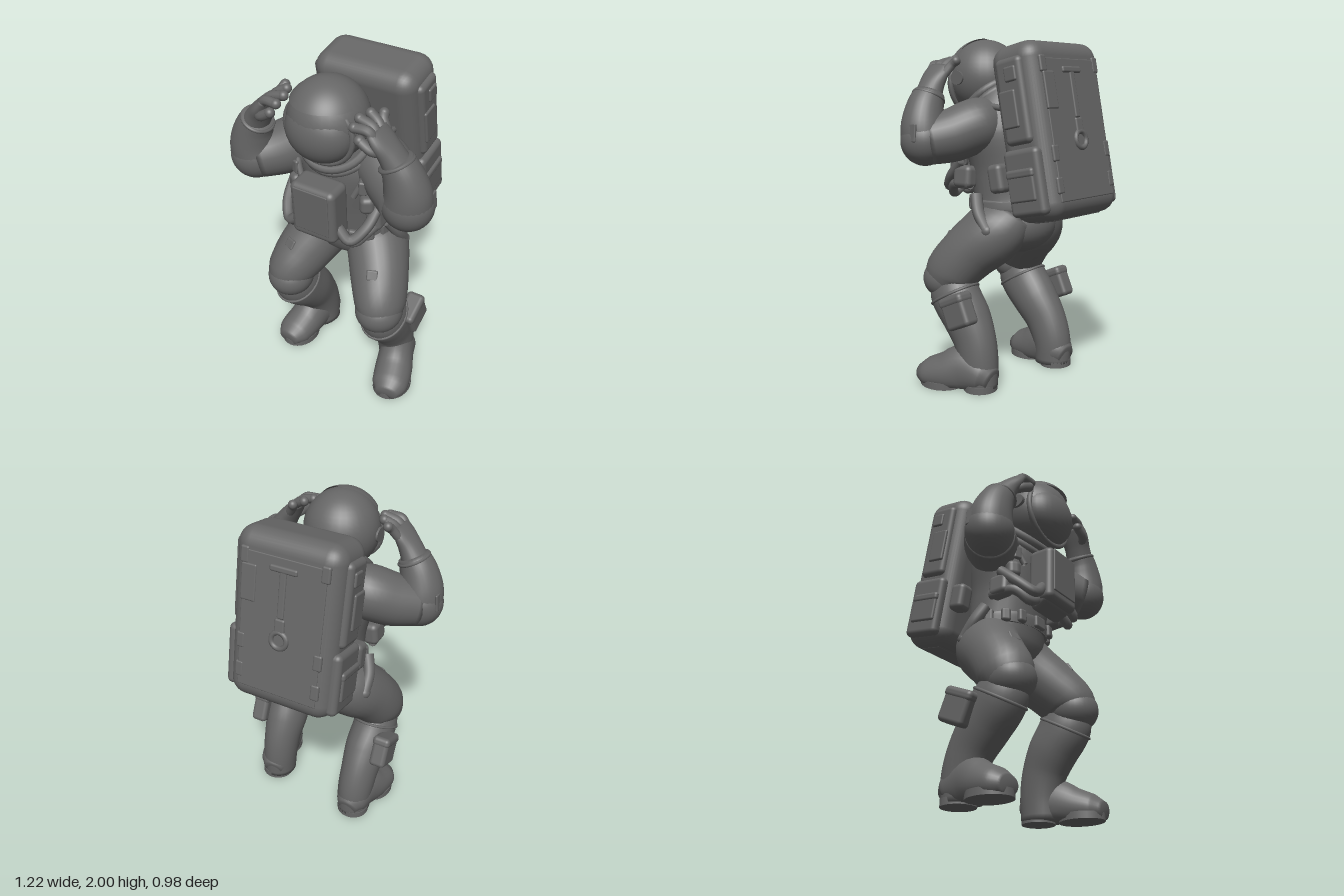
import * as THREE from 'three';
import { RoundedBoxGeometry } from 'three/addons/geometries/RoundedBoxGeometry.js';

const V = (x, y, z) => new THREE.Vector3(x, y, z);

export function createModel() {
  const root = new THREE.Group();
  const suit = new THREE.MeshStandardMaterial({ color: 0x666666, side: THREE.DoubleSide });
  suit.name = 'suitGrey';

  const add = (name, geo, pos = [0, 0, 0], rot = [0, 0, 0], parent = root) => {
    const m = new THREE.Mesh(geo, suit);
    m.name = name;
    m.position.set(...pos);
    m.rotation.set(...rot);
    parent.add(m);
    return m;
  };
  const box = (name, size, pos, rot, parent, r = 0.02) =>
    add(name, new RoundedBoxGeometry(...size, 4, Math.min(r, Math.min(...size) * 0.45)), pos, rot, parent);
  const tube = (name, pts, r) =>
    add(name, new THREE.TubeGeometry(new THREE.CatmullRomCurve3(pts.map(p => V(...p))), 24, r, 10));

  // Lofts ellipses along a smooth path; each section is [x, y, z, radiusA, radiusB]
  function loft(name, secs, ref = V(0, 0, 1), floor = -1) {
    const sides = 28, rows = (secs.length - 1) * 5;
    const path = new THREE.CatmullRomCurve3(secs.map(s => V(s[0], s[1], s[2])));
    const radii = new THREE.CatmullRomCurve3(secs.map(s => V(s[3], s[4], 0)));
    const pos = [], idx = [];
    for (let i = 0; i <= rows; i++) {
      const c = path.getPoint(i / rows), q = radii.getPoint(i / rows), t = path.getTangent(i / rows);
      const u = V().crossVectors(t, ref).normalize(), v = V().crossVectors(u, t);
      for (let j = 0; j < sides; j++) {
        const a = j / sides * Math.PI * 2;
        const p = c.clone().addScaledVector(u, q.x * Math.cos(a)).addScaledVector(v, q.y * Math.sin(a));
        pos.push(p.x, Math.max(p.y, floor), p.z);
        if (i < rows) {
          const k = i * sides, n = (j + 1) % sides;
          idx.push(k + j, k + sides + j, k + n, k + n, k + sides + j, k + sides + n);
        }
      }
    }
    // Close both ends
    const a = pos.length / 3, first = secs[0], last = secs[secs.length - 1];
    pos.push(first[0], first[1], first[2], last[0], last[1], last[2]);
    for (let j = 0; j < sides; j++) {
      const n = (j + 1) % sides, k = rows * sides;
      idx.push(a, j, n, a + 1, k + n, k + j);
    }
    const g = new THREE.BufferGeometry();
    g.setAttribute('position', new THREE.Float32BufferAttribute(pos, 3));
    g.setIndex(idx);
    g.computeVertexNormals();
    return add(name, g);
  }
  const ball = (name, r, pos, scale = [1, 1, 1]) => {
    const m = add(name, new THREE.SphereGeometry(r, 32, 24), pos);
    m.scale.set(...scale);
    return m;
  };
  // Elliptical ring lying across a given direction
  const ring = (name, pos, dir, rx, ry, t) => {
    const m = add(name, new THREE.TorusGeometry(1, t / rx, 8, 40), pos);
    m.quaternion.setFromUnitVectors(V(0, 0, 1), V(...dir).normalize());
    m.scale.set(rx, ry, rx);
    return m;
  };

  // Torso, seat and neck
  loft('torso', [[0, 0.77, 0.03, 0.05, 0.06], [0, 0.86, 0.02, 0.19, 0.16], [0, 0.97, 0.04, 0.265, 0.21],
    [0, 1.08, 0.06, 0.24, 0.215], [0, 1.25, 0.08, 0.245, 0.225], [0, 1.45, 0.105, 0.28, 0.225],
    [0, 1.58, 0.12, 0.24, 0.2], [0, 1.69, 0.17, 0.17, 0.16]]);
  ball('seat', 0.2, [0, 0.925, 0.005], [1.2, 0.8, 0.92]);
  ring('neckRing', [0, 1.635, 0.21], [0, 0.75, 0.65], 0.192, 0.192, 0.024);
  ring('neckFlange', [0, 1.605, 0.18], [0, 0.75, 0.65], 0.2, 0.2, 0.022);

  // Helmet with bulging visor, rim and raised sun shield
  ball('helmet', 0.222, [0, 1.772, 0.275], [0.97, 1, 0.97]);
  ball('visor', 1, [0, 1.74, 0.36], [0.192, 0.172, 0.14]);
  ring('visorRim', [0, 1.742, 0.375], [0, 0, 1], 0.196, 0.181, 0.016);
  const shield = add('sunShield', new THREE.SphereGeometry(0.232, 32, 14, 0.3, Math.PI - 0.6, 0, 1.02), [0, 1.768, 0.282]);
  shield.scale.x = 0.95;
  for (const s of [-1, 1]) {
    const hinge = add('visorHinge', new THREE.CylinderGeometry(0.04, 0.04, 0.03, 20), [s * 0.208, 1.77, 0.3], [0, 0, Math.PI / 2]);
    hinge.scale.z = 1.2;
  }

  // Belt
  loft('belt', [[0, 1.025, 0.055, 0.25, 0.226], [0, 1.035, 0.055, 0.257, 0.233],
    [0, 1.075, 0.06, 0.255, 0.233], [0, 1.085, 0.06, 0.247, 0.226]]);
  box('beltBuckle', [0.09, 0.075, 0.03], [0, 1.055, 0.29]);

  // Chest control unit
  box('chestUnit', [0.27, 0.33, 0.16], [0, 1.285, 0.39], [0.04, 0, 0], root, 0.035);
  box('chestUnitFace', [0.21, 0.26, 0.012], [0, 1.3, 0.471], [0.04, 0, 0]);
  box('chestUnitBase', [0.25, 0.09, 0.12], [0, 1.14, 0.365], [-0.4, 0, 0], root, 0.03);

  for (const s of [-1, 1]) {
    // Harness, hoses and waist pouches
    tube('shoulderStrap', [[s * 0.2, 1.6, -0.04], [s * 0.21, 1.61, 0.1], [s * 0.21, 1.57, 0.22], [s * 0.2, 1.46, 0.28], [s * 0.16, 1.36, 0.31]], 0.018);
    box('strapBuckle', [0.05, 0.08, 0.025], [s * 0.21, 1.42, 0.295], [0, s * 0.4, 0]);
    tube('upperHose', [[s * 0.12, 1.2, 0.4], [s * 0.19, 1.14, 0.4], [s * 0.25, 1.2, 0.33], [s * 0.27, 1.3, 0.22]], 0.03);
    tube('lowerHose', [[s * 0.11, 1.14, 0.36], [s * 0.19, 1.1, 0.36], [s * 0.25, 1.16, 0.3], [s * 0.27, 1.17, 0.15]], 0.028);
    box('waistPouch', [0.09, 0.13, 0.13], [s * 0.25, 1.21, 0.21], [0, 0, s * 0.1], root, 0.03);
    box('chestPouch', [0.08, 0.1, 0.08], [s * 0.22, 1.31, 0.27], [0, s * 0.6, 0], root, 0.03);
    box('sideBox', [0.1, 0.16, 0.1], [s * 0.27, 1.22, -0.07], [0.2, 0, 0], root, 0.03);
    for (const [x, z, turn] of [[0.13, 0.265, 0.2], [0.2, 0.205, 0.7], [0.245, 0.12, 1.2]])
      box('beltLoop', [0.055, 0.08, 0.035], [s * x, 1.057, z], [0, s * turn, 0]);
    tube('hipStrap', [[s * 0.265, 1.11, 0.11], [s * 0.3, 1.02, 0.06], [s * 0.305, 0.93, -0.005]], 0.035);
    ball('hipStrapEnd', 0.036, [s * 0.305, 0.925, -0.008]);

    // Arm raised to the helmet
    loft('upperArm', [[s * 0.14, 1.52, 0.1, 0.12, 0.14], [s * 0.24, 1.5, 0.14, 0.155, 0.155],
      [s * 0.35, 1.45, 0.21, 0.15, 0.15], [s * 0.46, 1.42, 0.295, 0.138, 0.135]], V(0, 1, 0));
    ball('elbow', 0.14, [s * 0.472, 1.422, 0.3], [1, 1, 0.96]);
    loft('forearm', [[s * 0.47, 1.42, 0.3, 0.138, 0.132], [s * 0.475, 1.5, 0.31, 0.127, 0.122],
      [s * 0.45, 1.6, 0.32, 0.107, 0.105], [s * 0.41, 1.68, 0.328, 0.085, 0.09]]);
    ring('cuff', [s * 0.416, 1.662, 0.326], [-s * 0.45, 0.9, 0], 0.086, 0.09, 0.01);
    box('sleevePatch', [0.015, 0.1, 0.08], [s * 0.595, 1.47, 0.28], [0, 0, s * 0.1]);

    // Gloved hand resting against the helmet
    loft('palm', [[s * 0.425, 1.65, 0.328, 0.075, 0.085], [s * 0.385, 1.72, 0.338, 0.06, 0.082],
      [s * 0.345, 1.78, 0.345, 0.045, 0.09], [s * 0.31, 1.83, 0.345, 0.03, 0.085]]);
    for (const [z, tx, ty, tz] of [[0.28, 0.29, 1.86, 0.235], [0.32, 0.245, 1.87, 0.285], [0.36, 0.22, 1.865, 0.35], [0.395, 0.225, 1.845, 0.41]]) {
      tube('finger', [[s * 0.335, 1.79, z], [s * 0.3, 1.84, (z + tz) / 2], [s * tx, ty, tz]], 0.026);
      ball('fingertip', 0.0265, [s * tx, ty, tz]);
    }
    tube('thumb', [[s * 0.365, 1.73, 0.37], [s * 0.325, 1.75, 0.415], [s * 0.26, 1.79, 0.42]], 0.027);
    ball('thumbTip', 0.0275, [s * 0.26, 1.79, 0.42]);

    // Leg: the right one stands slightly inward and further back
    const left = s > 0, k = left ? 0 : -0.035, a = left ? 0 : -0.075, X = x => s * x;
    const heel = left ? 0.32 : 0.275, toe = left ? 0.43 : 0.33;
    loft('thigh', [[X(0.1), 1.0, 0.02, 0.13, 0.18], [X(0.17), 0.9, 0.06, 0.175, 0.19],
      [X(0.255 + k * 0.3), 0.77, 0.18, 0.168, 0.17], [X(0.315 + k * 0.7), 0.65, 0.27, 0.145, 0.16],
      [X(0.325 + k), 0.57, 0.285, 0.115, 0.125]]);
    ball('knee', 0.14, [X(0.322 + k), 0.615, 0.298], [0.98, 0.88, 1]);
    loft('shin', [[X(0.322 + k), 0.62, 0.26, 0.11, 0.13], [X(0.322 + k), 0.52, 0.228, 0.132, 0.158],
      [X(0.315 + k), 0.4, 0.147 + a * 0.3, 0.13, 0.148], [X(0.315 + k), 0.28, 0.085 + a * 0.65, 0.115, 0.132],
      [X((0.315 + k + heel) / 2), 0.15, 0.055 + a * 0.95, 0.108, 0.122], [X(heel), 0.015, 0.05 + a, 0.1, 0.115]]);
    ring('shinCuff', [X(0.322 + k), 0.525, 0.232], [0, 0.88, 0.5], 0.13, 0.155, 0.009);

    // Boot, flat on the ground, with toes turned out
    const mix = f => X(heel + (toe - heel) * f);
    loft('boot', [[mix(0), 0.07, -0.055 + a, 0.06, 0.06], [mix(0.05), 0.09, a, 0.098, 0.1],
      [mix(0.35), 0.11, 0.12 + a, 0.106, 0.14], [mix(0.7), 0.08, 0.23 + a, 0.115, 0.115],
      [mix(0.95), 0.06, 0.33 + a, 0.108, 0.09], [mix(1.05), 0.05, 0.397 + a, 0.065, 0.05]], V(0, 1, 0), 0.01);
    for (const [name, f, z, w, d] of [['frontSole', 0.8, 0.265, 0.113, 0.135], ['heelSole', 0.06, 0.03, 0.098, 0.095]]) {
      const m = add(name, new THREE.CylinderGeometry(1, 1, 0.04, 28), [mix(f), 0.02, z + a]);
      m.scale.set(w, 1, d);
    }

    // Leg pocket, flap and patches
    const px = X(0.437 + k * 0.5), pz = a * 0.3;
    box('legPocket', [0.1, 0.18, 0.18], [px, 0.47, 0.088 + pz], [0.42, 0, 0], root, 0.025);
    box('legPocketFlap', [0.11, 0.06, 0.19], [px, 0.535, 0.117 + pz], [0.42, 0, 0], root, 0.025);
    box('thighPatch', [0.065, 0.06, 0.02], [X(0.28 + k * 0.3), 0.865, 0.31], [-0.55, s * 0.25, s * 0.2]);
    box('shinPatch', [0.05, 0.06, 0.02], [X(0.27 + k), 0.42, 0.28 + pz], [0.4, -s * 0.25, 0]);
  }

  // Backpack leaning forward at the top
  const pack = new THREE.Group();
  pack.name = 'backpack';
  pack.position.set(0, 1.473, -0.248);
  pack.rotation.x = 0.195;
  root.add(pack);
  box('packBody', [0.62, 0.96, 0.322], [0, 0, 0], [0, 0, 0], pack, 0.095);
  box('packBackPanel', [0.48, 0.76, 0.014], [0, -0.01, -0.157], [0, 0, 0], pack);
  box('packBottomPanel', [0.44, 0.02, 0.14], [0, -0.475, 0], [0, 0, 0], pack);
  for (const s of [-1, 1]) {
    box('upperSidePod', [0.07, 0.46, 0.18], [s * 0.3, 0.17, 0], [0, 0, 0], pack, 0.035);
    box('upperPodCover', [0.025, 0.2, 0.11], [s * 0.333, 0.13, 0.02], [0, 0, 0], pack);
    box('upperPodLatch', [0.025, 0.08, 0.08], [s * 0.333, 0.31, -0.02], [0, 0, 0], pack);
    box('lowerSidePod', [0.07, 0.36, 0.24], [s * 0.305, -0.26, 0], [0, 0, 0], pack, 0.035);
    box('sidePocket', [0.03, 0.16, 0.18], [s * 0.336, -0.28, 0.01], [0, 0, 0], pack);
    box('sidePocketFlap', [0.04, 0.05, 0.19], [s * 0.336, -0.21, 0.01], [0, 0, 0], pack);
    for (const y of [0.34, -0.13, -0.3])
      box('edgeClip', [0.05, 0.09, 0.025], [s * 0.23, y, -0.155], [0, 0, 0], pack);
  }
  // Back fittings: hatch plate, handle and round connector
  box('hatchPlate', [0.09, 0.2, 0.02], [0.2, 0.2, -0.16], [0, 0, 0], pack);
  box('handleBar', [0.16, 0.035, 0.025], [0, 0.31, -0.162], [0, 0, 0], pack);
  box('handleStem', [0.04, 0.26, 0.02], [0, 0.18, -0.162], [0, 0, 0], pack);
  add('connector', new THREE.TorusGeometry(0.045, 0.015, 8, 24), [0, -0.07, -0.163], [0, 0, 0], pack);
  box('connectorBlock', [0.06, 0.08, 0.025], [0, 0.01, -0.162], [0, 0, 0], pack);
  return root;
}
